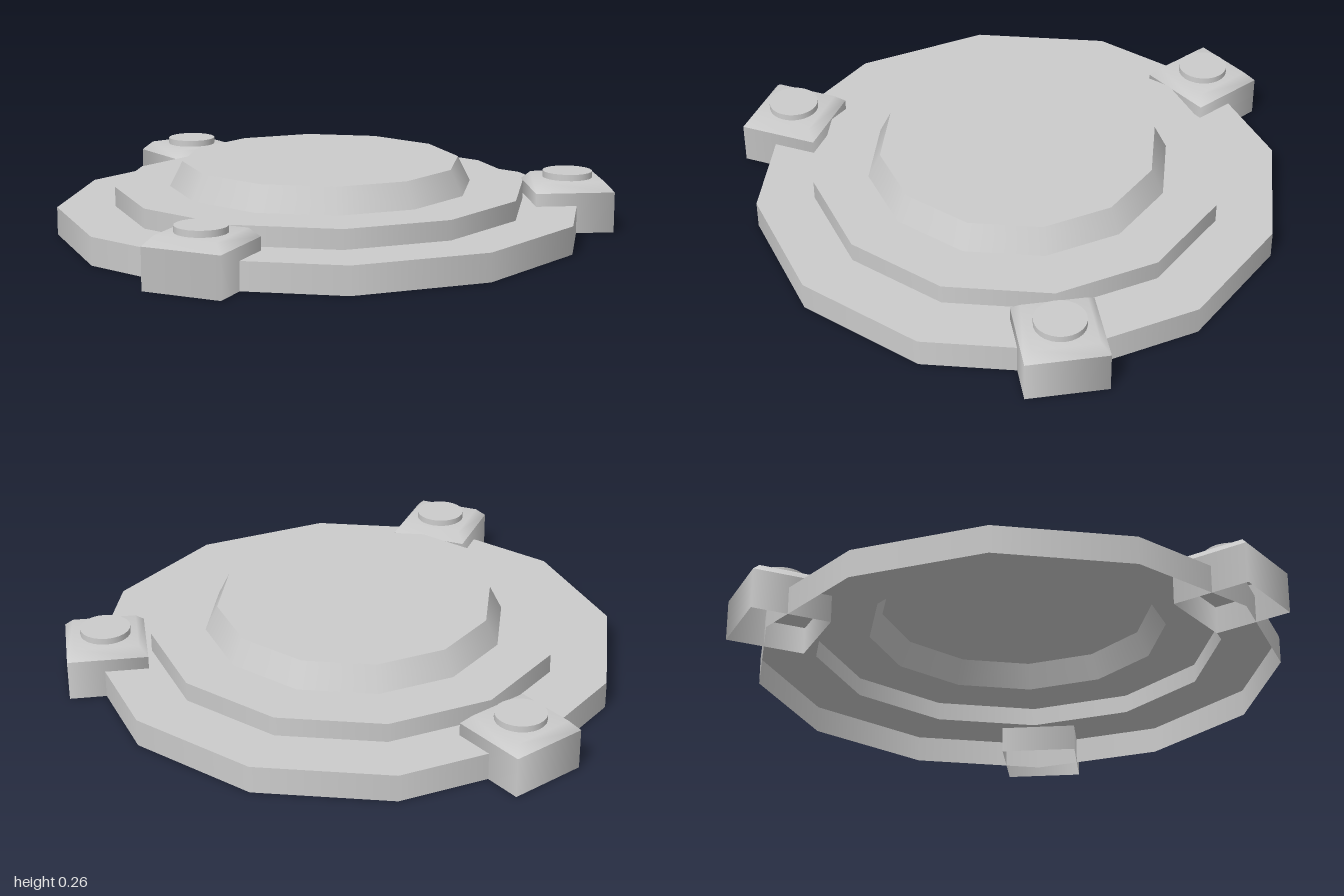
import * as THREE from 'three';

const material = new THREE.MeshStandardMaterial({ color: 0xcccccc, side: THREE.DoubleSide });

// One band of a turned shell: separate bands keep the steps sharp.
function band(name, points, sides) {
  const profile = points.map(([r, y]) => new THREE.Vector2(r, y));
  const mesh = new THREE.Mesh(new THREE.LatheGeometry(profile, sides), material);
  mesh.name = name;
  return mesh;
}

// Stepped twelve-sided cover, hollow and open underneath
function createCover() {
  const cover = new THREE.Group();
  cover.name = 'steppedCover';
  const steps = [
    ['rimWall', 0.95, 0], ['rimTop', 0.95, 0.1], ['stepWall', 0.742, 0.1],
    ['stepTop', 0.742, 0.17], ['domeSlope', 0.545, 0.17], ['domeTop', 0.5, 0.26], ['', 0, 0.26],
  ];
  for (let i = 0; i < steps.length - 1; i++) {
    const [name, r, y] = steps[i];
    cover.add(band(name, [[r, y], [steps[i + 1][1], steps[i + 1][2]]], 12));
  }
  return cover;
}

// Square lug with a bevelled top and a round button, open underneath
function createLug() {
  const lug = new THREE.Group();
  lug.name = 'lug';
  const corner = 0.143 * Math.SQRT2;
  const inner = 0.113 * Math.SQRT2;
  const wall = band('lugWall', [[corner, 0], [corner, 0.147]], 4);
  const top = band('lugTop', [[corner, 0.147], [inner, 0.18], [0, 0.18]], 4);
  wall.rotation.y = top.rotation.y = Math.PI / 4;
  lug.add(
    wall, top,
    band('buttonWall', [[0.09, 0.18], [0.09, 0.203]], 24),
    band('buttonTop', [[0.09, 0.203], [0, 0.203]], 24),
  );
  return lug;
}

export function createModel() {
  const model = new THREE.Group();
  model.name = 'flangedCover';
  model.add(createCover());

  // Three lugs spaced evenly around the rim
  for (let i = 0; i < 3; i++) {
    const arm = new THREE.Group();
    arm.name = 'lugMount';
    const lug = createLug();
    lug.position.set(0.014, 0, -0.903);
    arm.add(lug);
    arm.rotation.y = (i * Math.PI * 2) / 3;
    model.add(arm);
  }
  model.position.set(0.005, 0, 0.047);
  return model;
}
